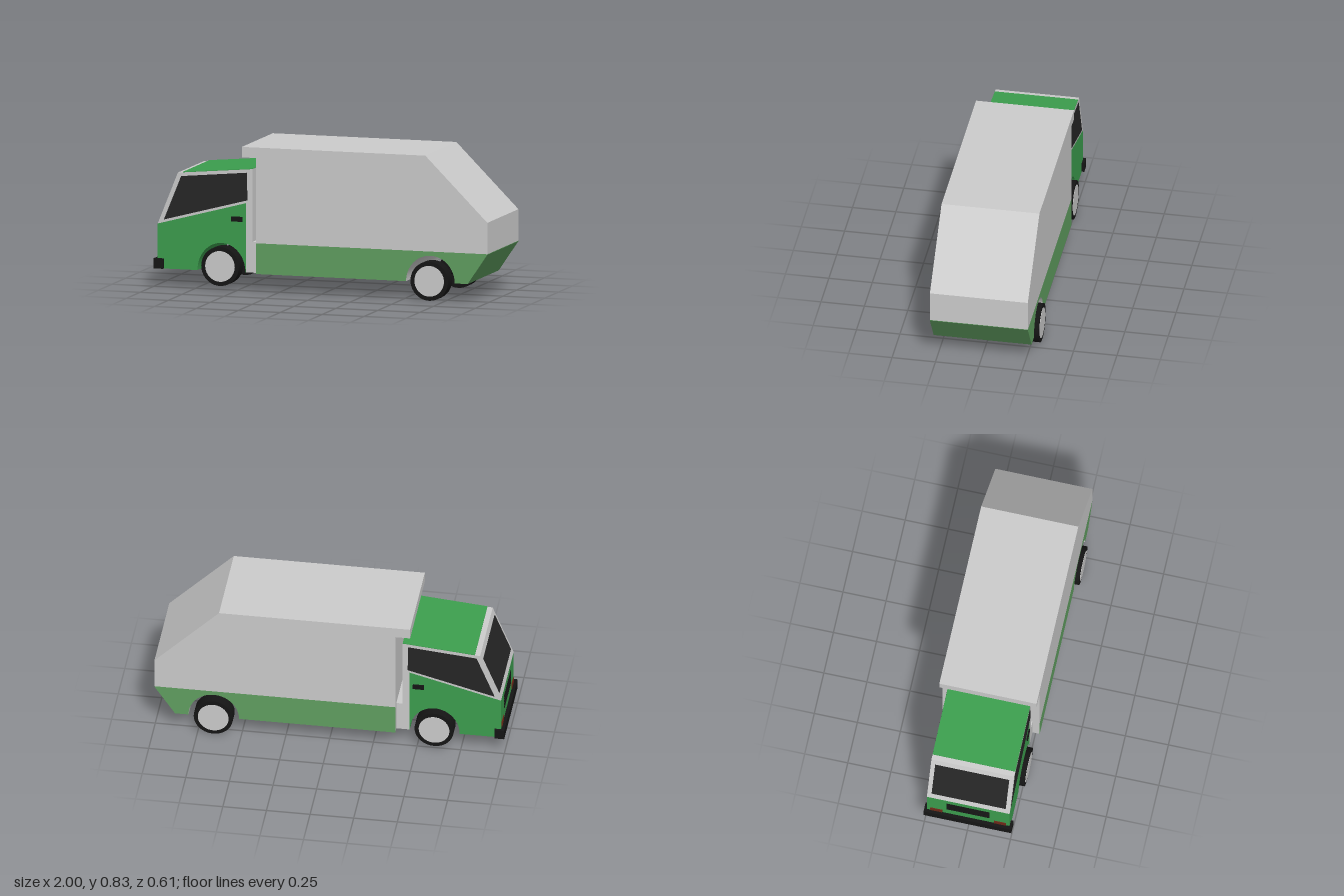
import * as THREE from 'three';
import { toCreasedNormals } from 'three/addons/utils/BufferGeometryUtils.js';

const paint = (color) => new THREE.MeshStandardMaterial({ color });
const grey = paint(0xcccccc);
const cabGreen = paint(0x3c9e4e);
const skirtGreen = paint(0x609f60);
const glass = paint(0x262626);
const black = paint(0x151515);
const lampRed = paint(0x6e2a18);

export function createModel() {
  const truck = new THREE.Group();
  truck.name = 'truck';

  const add = (name, geometry, material, x = 0, y = 0, z = 0) => {
    const mesh = new THREE.Mesh(geometry, material);
    mesh.name = name;
    mesh.position.set(x, y, z);
    truck.add(mesh);
    return mesh;
  };
  const box = (name, w, h, d, material, x, y, z) =>
    add(name, new THREE.BoxGeometry(w, h, d), material, x, y, z);

  // Side profile extruded across the truck; an entry with cx is a wheel arch
  const prism = (name, profile, halfWidth, material) => {
    const shape = new THREE.Shape();
    profile.forEach((p, i) => {
      if (p.cx !== undefined) {
        shape.lineTo(p.cx - p.rx, p.y);
        shape.absellipse(p.cx, p.y, p.rx, p.ry, Math.PI, 0, true);
      } else if (i === 0) shape.moveTo(p[0], p[1]);
      else shape.lineTo(p[0], p[1]);
    });
    const geometry = new THREE.ExtrudeGeometry(shape, {
      depth: halfWidth * 2, bevelEnabled: false, curveSegments: 24,
    });
    geometry.translate(0, 0, -halfWidth);
    return add(name, toCreasedNormals(geometry, 0.4), material);
  };

  // Cargo body with roof overhang and sloping tail
  prism('cargoBody', [
    [-0.38, 0.28], [1, 0.28], [1, 0.46], [0.63, 0.828],
    [-0.465, 0.828], [-0.465, 0.768], [-0.38, 0.768],
  ], 0.282, grey);

  // Lower skirt: painted sides, bare underside and wheel arch
  prism('skirt', [
    [-0.38, 0.104], { cx: 0.66, y: 0.104, rx: 0.145, ry: 0.152 },
    [0.88, 0.104], [1, 0.28], [-0.38, 0.28],
  ], 0.282, [skirtGreen, grey]);
  prism('tailPanel', [
    [0.879, 0.104], [0.882, 0.104], [1, 0.277], [1, 0.28], [0.996, 0.28],
  ], 0.282, skirtGreen);

  // Cab: painted lower shell, grey window frame and rear pillar
  prism('cabShell', [
    [-0.98, 0.104], { cx: -0.6, y: 0.104, rx: 0.143, ry: 0.162 },
    [-0.455, 0.104], [-0.455, 0.5], [-0.98, 0.36],
  ], 0.24, cabGreen);
  prism('cabFrame', [
    [-0.98, 0.36], [-0.455, 0.5], [-0.455, 0.104], [-0.38, 0.104],
    [-0.38, 0.28], [-0.416, 0.28], [-0.416, 0.697], [-0.86, 0.657],
  ], 0.24, grey);
  prism('cabRoof', [
    [-0.83, 0.658], [-0.416, 0.695], [-0.416, 0.7], [-0.83, 0.663],
  ], 0.24, cabGreen);

  // Glazing stands slightly proud of the frame
  prism('sideWindows', [
    [-0.943, 0.385], [-0.445, 0.517], [-0.448, 0.675], [-0.84, 0.638],
  ], 0.242, glass);
  const windshield = box('windshield', 0.006, 0.245, 0.43, glass, -0.92, 0.51, 0);
  windshield.rotation.z = -Math.atan2(0.12, 0.297);

  // Nose details
  box('bumper', 0.056, 0.058, 0.51, black, -0.972, 0.133, 0);
  for (let i = 0; i < 5; i++) {
    box('grilleSlat', 0.006, 0.011, 0.25, black, -0.98, 0.235 + i * 0.019, 0);
  }

  // Parts mirrored on both sides
  const wheel = (name, x, y, inner, outer, side) => {
    const width = outer - inner;
    const tyre = new THREE.CylinderGeometry(0.112, 0.112, width, 40);
    const hub = new THREE.CylinderGeometry(0.088, 0.088, width, 40);
    tyre.rotateX(Math.PI / 2);
    hub.rotateX(Math.PI / 2);
    const z = side * (inner + outer) / 2;
    add(name + 'Tyre', tyre, black, x, y, z);
    add(name + 'Hub', hub, grey, x, y, z + side * 0.002);
  };
  for (const side of [-1, 1]) {
    wheel('front', -0.6, 0.135, 0.185, 0.266, side);
    wheel('rear', 0.66, 0.113, 0.228, 0.303, side);
    box('doorHandle', 0.064, 0.028, 0.012, black, -0.507, 0.407, side * 0.242);
    box('headlamp', 0.006, 0.034, 0.07, lampRed, -0.981, 0.182, side * 0.185);
  }

  // Axles
  for (const [x, y] of [[-0.6, 0.135], [0.66, 0.113]]) {
    const axle = new THREE.CylinderGeometry(0.013, 0.013, 0.44, 16);
    axle.rotateX(Math.PI / 2);
    add('axle', axle, black, x, y, 0);
  }

  return truck;
}
